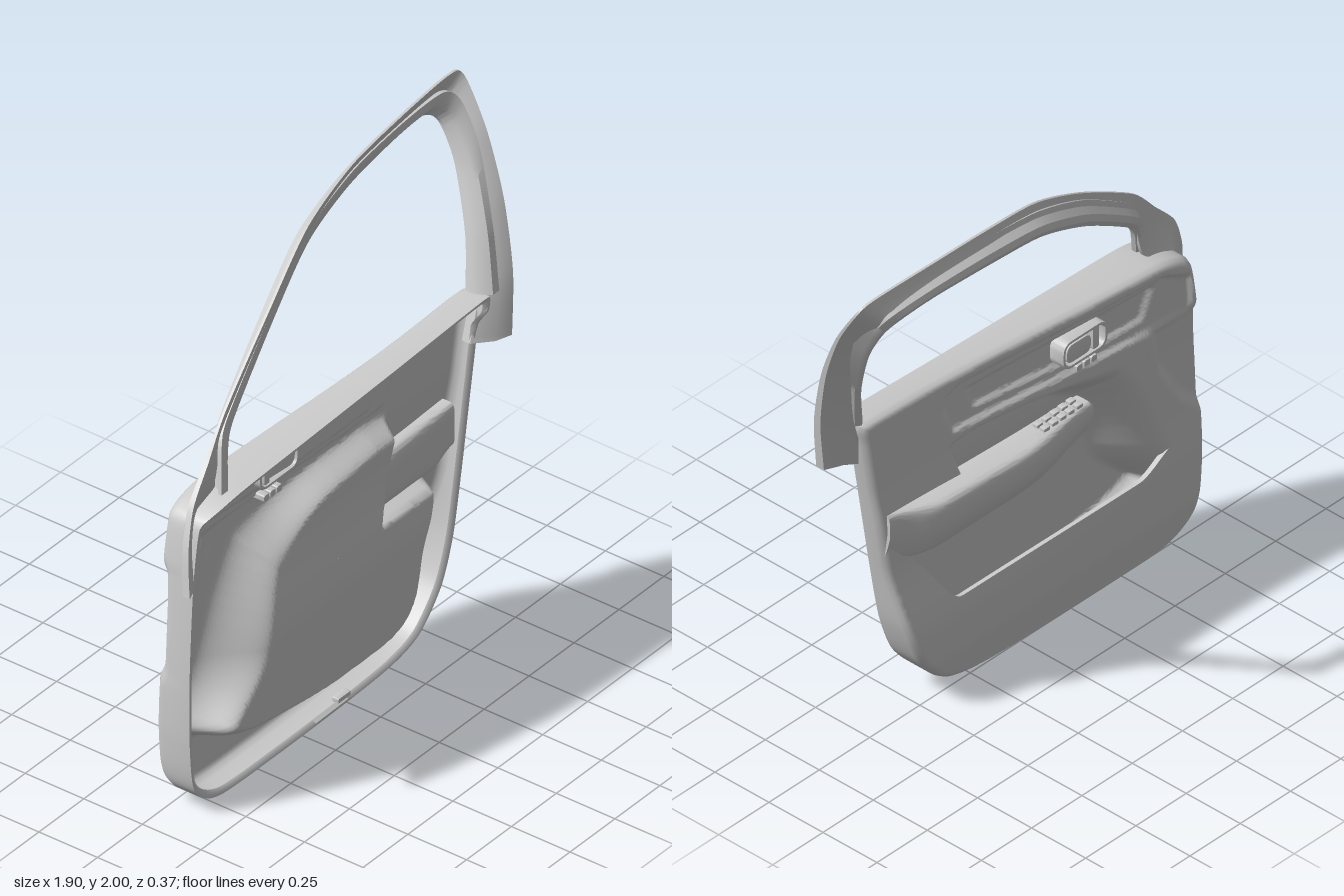
import * as THREE from 'three';
import { toCreasedNormals } from 'three/addons/utils/BufferGeometryUtils.js';

const material = new THREE.MeshStandardMaterial({ color: 0xcccccc, side: THREE.DoubleSide });
const { lerp, smoothstep } = THREE.MathUtils;
const ss = (a, b, v) => smoothstep(v, a, b);
const curve3 = (pts, closed) => new THREE.CatmullRomCurve3(
  pts.map(([x, y, z = 0]) => new THREE.Vector3(x, y, z)), closed, 'catmullrom', 0.4);

function add(group, name, geometry, x = 0, y = 0, z = 0) {
  const mesh = new THREE.Mesh(geometry, material);
  mesh.name = name;
  mesh.position.set(x, y, z);
  group.add(mesh);
  return mesh;
}

// Skin over rows of [x, y, z] points; each row may close on itself
function loft(rows, { closed = true, caps = false, crease = 0.6 } = {}) {
  const n = rows[0].length, index = [];
  for (let i = 0; i < rows.length - 1; i++) {
    for (let j = 0; j < (closed ? n : n - 1); j++) {
      const k = (j + 1) % n, a = i * n + j, b = i * n + k;
      index.push(a, b, a + n, b, b + n, a + n);
    }
  }
  if (caps) for (const base of [0, (rows.length - 1) * n]) {
    for (let j = 1; j < n - 1; j++) {
      index.push(base, base + (base ? j : j + 1), base + (base ? j + 1 : j));
    }
  }
  const g = new THREE.BufferGeometry();
  g.setAttribute('position', new THREE.Float32BufferAttribute(rows.flat(2), 3));
  g.setIndex(index);
  return toCreasedNormals(g, crease);
}

// Distance inside a polygon (negative outside)
function inside(poly, x, y) {
  let d = Infinity, within = false;
  for (let i = 0, j = poly.length - 1; i < poly.length; j = i++) {
    const [ax, ay] = poly[i], [bx, by] = poly[j];
    const ex = bx - ax, ey = by - ay;
    const t = Math.min(1, Math.max(0, ((x - ax) * ex + (y - ay) * ey) / (ex * ex + ey * ey)));
    d = Math.min(d, Math.hypot(x - ax - ex * t, y - ay - ey * t));
    if ((ay > y) !== (by > y) && x < ax + (ex * (y - ay)) / ey) within = !within;
  }
  return within ? d : -d;
}

// Regions of the trim panel
const pocket = curve3([[-0.77, 0.25], [-0.74, 0.38], [-0.62, 0.7], [-0.52, 0.87], [-0.4, 0.94], [0.33, 1.0],
  [0.52, 0.66], [0.43, 0.4], [0.34, 0.23], [0.2, 0.15], [-0.2, 0.145], [-0.52, 0.14], [-0.7, 0.18]], true)
  .getPoints(52).slice(0, 52).map(p => [p.x, p.y]);
const rearInsert = [[0.17, 0.645], [0.32, 1.04], [0.9, 1.04], [0.9, 0.645]];
const decor = [[-0.83, 0.965], [-0.82, 1.13], [-0.68, 1.2], [0, 1.225], [0.27, 1.235], [0.34, 1.21],
  [0.36, 1.15], [0.31, 1.025]];
const bowl = [[-0.66, 1.17], [-0.6, 1.03], [-0.3, 1.03], [0.2, 1.065], [0.23, 1.18]];
const frontCorner = [[-0.6, 1], [-0.64, 0.8], [-0.75, 0.62], [-0.88, 0.5], [-1, 0.45], [-1, 1]];

// Cabin-side face without the storage pocket
function faceZ(x, y) {
  const rear = ss(-0.7, 0.5, x), rise = ss(0.3, 0.65, y);
  const low = -0.04 + rise * lerp(0.01, 0.06, rear) + 0.02 * (1 - ss(0, 0.2, y));
  const up = lerp(-0.038, 0.03, ss(-0.8, 0.5, x));
  return lerp(low, up, ss(0.8, 1, y)) + 0.02 * ss(0, 0.026, inside(decor, x, y))
    + 0.018 * ss(0, 0.026, inside(bowl, x, y)) + 0.02 * ss(0, 0.05, inside(frontCorner, x, y));
}

function panelZ(x, y) {
  const wall = lerp(0.24, 0.08, ss(-0.6, -0.1, x)) * lerp(0.35, 1, ss(0.2, 0.5, y));
  const depth = ss(0, wall, inside(pocket, x, y)) * (1 - ss(-0.01, 0.03, inside(rearInsert, x, y)));
  return lerp(faceZ(x, y), lerp(0.148, 0.105, ss(0.5, 0.88, y)), depth);
}

// Trim panel: rings from the middle to the outline, then a returned edge
function panelGeometry() {
  const outline = curve3([[-0.88, 0.6], [-0.88, 0.3], [-0.85, 0.1], [-0.72, 0.015], [-0.4, 0.005], [0, 0.01],
    [0.25, 0.025], [0.4, 0.07], [0.52, 0.2], [0.585, 0.37], [0.63, 0.6], [0.68, 0.9], [0.73, 1.2],
    [0.742, 1.275], [0.69, 1.288], [0.2, 1.268], [-0.3, 1.25], [-0.66, 1.235], [-0.79, 1.2], [-0.83, 1.15],
    [-0.86, 0.95]], true).getSpacedPoints(340).slice(0, 340);
  const cx = -0.08, cy = 0.65, rows = [];
  const ring = (s, zRule) => rows.push(outline.map(p => {
    const x = cx + (p.x - cx) * s, y = cy + (p.y - cy) * s;
    return [x, y, zRule(x, y)];
  }));
  for (let i = 0; i <= 150; i++) ring(0.002 + 0.968 * i / 150, panelZ);
  ring(0.99, (x, y) => panelZ(x, y) + 0.012);
  ring(1, (x, y) => panelZ(x, y) + 0.035);
  const edge = (x, y) => lerp(0.11, 0.148, ss(1.16, 1.24, y));
  ring(1, edge);
  ring(0.985, edge);
  ring(0.97, (x, y) => edge(x, y) - 0.015);
  return loft(rows, { crease: 1 });
}

// Lower cover standing in front of the storage pocket, folded back along its top edge
function pocketCoverGeometry() {
  const rows = [], steps = 60;
  for (let i = 0; i <= 22; i++) {
    const v = Math.min(1, i / 20), fold = Math.max(0, i - 20);
    rows.push(Array.from({ length: steps + 1 }, (_, j) => {
      const u = j / steps;
      const x = lerp(lerp(-0.8, -0.75, v), 0.36 + 0.17 * Math.sqrt(v), u);
      // the top edge sweeps upwards at both ends
      const top = 0.39 + 0.22 * ss(0.84, 1, u) + 0.08 * (1 - ss(0, 0.16, u));
      const y = lerp(0.13, top, v) - fold * 0.004;
      const skin = faceZ(x, y) - 0.003;
      return [x, y, Math.max(skin, Math.min(skin + fold * 0.012, panelZ(x, y) - 0.003))];
    }));
  }
  return loft(rows, { closed: false });
}

// Sweep between paired edges [outerX, outerY, innerX, innerY, z, depthScale]; section holds [across, depth]
function frameStrip(stations, section) {
  const outer = curve3(stations.map(s => [s[0], s[1], s[4]]), false);
  const inner = curve3(stations.map(s => [s[2], s[3], s[5] ?? 1]), false);
  const rows = [], steps = 140;
  for (let i = 0; i <= steps; i++) {
    const o = outer.getPoint(i / steps), q = inner.getPoint(i / steps);
    rows.push(section.map(([t, d]) => [lerp(o.x, q.x, t), lerp(o.y, q.y, t), o.z + d * q.z]));
  }
  return loft(rows, { caps: true });
}

// Armrest: rounded sections running along x
function armrestGeometry() {
  const rows = [], steps = 48, n = 40;
  for (let i = 0; i <= steps; i++) {
    const u = i / steps, x = lerp(-0.39, 0.64, u);
    const end = Math.min(1, Math.sqrt(Math.max(0.002, u / 0.04)));
    const top = lerp(0.82, 0.87, u), bottom = lerp(0.69, 0.645, ss(0, 0.3, u)) + 0.05 * ss(0.88, 1, u);
    const front = lerp(-0.005, -0.068, ss(0, 0.42, u)) + 0.075 * ss(0.78, 1, u), back = 0.075;
    const cy = (top + bottom) / 2, cz = (front + back) / 2;
    rows.push(Array.from({ length: n }, (_, j) => {
      const a = j / n * Math.PI * 2, c = Math.cos(a), s = Math.sin(a);
      const py = Math.sign(s) * Math.abs(s) ** 0.4, pz = Math.sign(c) * Math.abs(c) ** 0.4;
      // the underside tucks back towards the panel
      const tuck = pz < 0 && py < 0 ? 1 + 0.6 * py : 1;
      return [x, cy + py * end * (top - bottom) / 2, cz + pz * tuck * end * (back - front) / 2];
    }));
  }
  return loft(rows, { caps: true });
}

// Rounded plate in the xy plane, optionally with a hole
function plate(w, h, r, depth, border = 0) {
  const trace = (path, a, b, q) => {
    path.moveTo(-a + q, -b);
    path.lineTo(a - q, -b).quadraticCurveTo(a, -b, a, -b + q);
    path.lineTo(a, b - q).quadraticCurveTo(a, b, a - q, b);
    path.lineTo(-a + q, b).quadraticCurveTo(-a, b, -a, b - q);
    path.lineTo(-a, -b + q).quadraticCurveTo(-a, -b, -a + q, -b);
    return path;
  };
  const shape = trace(new THREE.Shape(), w / 2, h / 2, r);
  if (border) shape.holes.push(trace(new THREE.Path(), w / 2 - border, h / 2 - border, r * 0.75));
  const bevel = Math.min(0.004, depth / 4);
  const g = new THREE.ExtrudeGeometry(shape, { depth: depth - 2 * bevel, bevelThickness: bevel,
    bevelSize: bevel, bevelOffset: -bevel, bevelSegments: 2, curveSegments: 8 });
  g.translate(0, 0, bevel - depth / 2);
  return toCreasedNormals(g, 0.6);
}

export function createModel() {
  const model = new THREE.Group();
  model.name = 'carDoorTrim';
  add(model, 'trimPanel', panelGeometry());
  add(model, 'pocketCover', pocketCoverGeometry());
  add(model, 'armrest', armrestGeometry());

  // Window surround: thin outer flange and deeper inner channel
  add(model, 'frameFlange', frameStrip([
    [-0.95, 0.97, -0.85, 0.97, 0.163, 3], [-0.92, 1.13, -0.84, 1.11, 0.135, 2.6],
    [-0.86, 1.27, -0.8, 1.19, 0.11, 2.2], [-0.75, 1.39, -0.66, 1.25, 0.09, 1.5],
    [-0.62, 1.525, -0.58, 1.45, 0.065], [-0.3, 1.735, -0.27, 1.67, 0.005], [0, 1.89, 0.02, 1.825, -0.06],
    [0.3, 1.957, 0.3, 1.895, -0.105], [0.6, 1.985, 0.6, 1.925, -0.125], [0.88, 2.0, 0.83, 1.93, -0.135],
    [0.95, 1.97, 0.87, 1.89, -0.122], [0.935, 1.8, 0.865, 1.76, -0.015, 1.4],
    [0.9, 1.58, 0.825, 1.56, 0.085, 2.2], [0.86, 1.33, 0.765, 1.32, 0.155, 3], [0.82, 1.1, 0.69, 1.1, 0.182, 3.6]],
  [[0, 0], [0.5, -0.006], [1, -0.022], [1, -0.032], [0.5, -0.018], [0, -0.01]]));
  add(model, 'frameChannel', frameStrip([
    [-0.72, 1.255, -0.65, 1.255, 0.135], [-0.68, 1.42, -0.61, 1.37, 0.105], [-0.61, 1.495, -0.54, 1.45, 0.078],
    [-0.3, 1.71, -0.27, 1.635, 0.015], [0, 1.86, 0.02, 1.785, -0.053], [0.3, 1.93, 0.3, 1.85, -0.093],
    [0.6, 1.955, 0.6, 1.885, -0.112], [0.84, 1.955, 0.77, 1.885, -0.115], [0.9, 1.9, 0.835, 1.835, -0.082],
    [0.89, 1.75, 0.83, 1.7, 0.005, 1.2], [0.83, 1.5, 0.77, 1.48, 0.11, 1.4], [0.785, 1.29, 0.715, 1.29, 0.175, 1.7]],
  [[0, -0.012], [0.5, -0.012], [0.7, -0.022], [1, -0.045], [1, -0.065], [0.75, -0.073], [0.45, -0.065],
    [0.25, -0.035], [0, -0.028]]));

  // Inner door handle: surround with a pull lever
  const handle = new THREE.Group();
  handle.name = 'doorHandle';
  handle.position.set(-0.29, 1.11, 0.005);
  add(handle, 'handleSurround', plate(0.22, 0.115, 0.045, 0.075, 0.012));
  add(handle, 'handleLever', plate(0.12, 0.075, 0.03, 0.02), 0.03, 0, -0.025);
  add(handle, 'handlePivot', plate(0.03, 0.1, 0.012, 0.06), -0.06, 0, 0);
  model.add(handle);

  // Lock buttons under the handle and window switches on the armrest
  for (let i = 0; i < 3; i++) {
    add(model, 'lockButton', plate(0.03, 0.028, 0.01, 0.05), -0.355 + i * 0.036, 1.01, 0.012);
  }
  for (let i = 0; i < 10; i++) {
    const column = i % 5, row = Math.floor(i / 5);
    const button = add(model, 'windowSwitch', plate(0.032, 0.026, 0.007, 0.018),
      -0.3 + column * 0.045, 0.827 + column * 0.0025, 0.015 + row * 0.032 - column * 0.004);
    button.rotation.x = Math.PI / 2;
  }

  // Drain clip in the lower edge
  add(model, 'drainClip', plate(0.07, 0.02, 0.006, 0.03), -0.01, 0.03, 0.09);
  return model;
}
